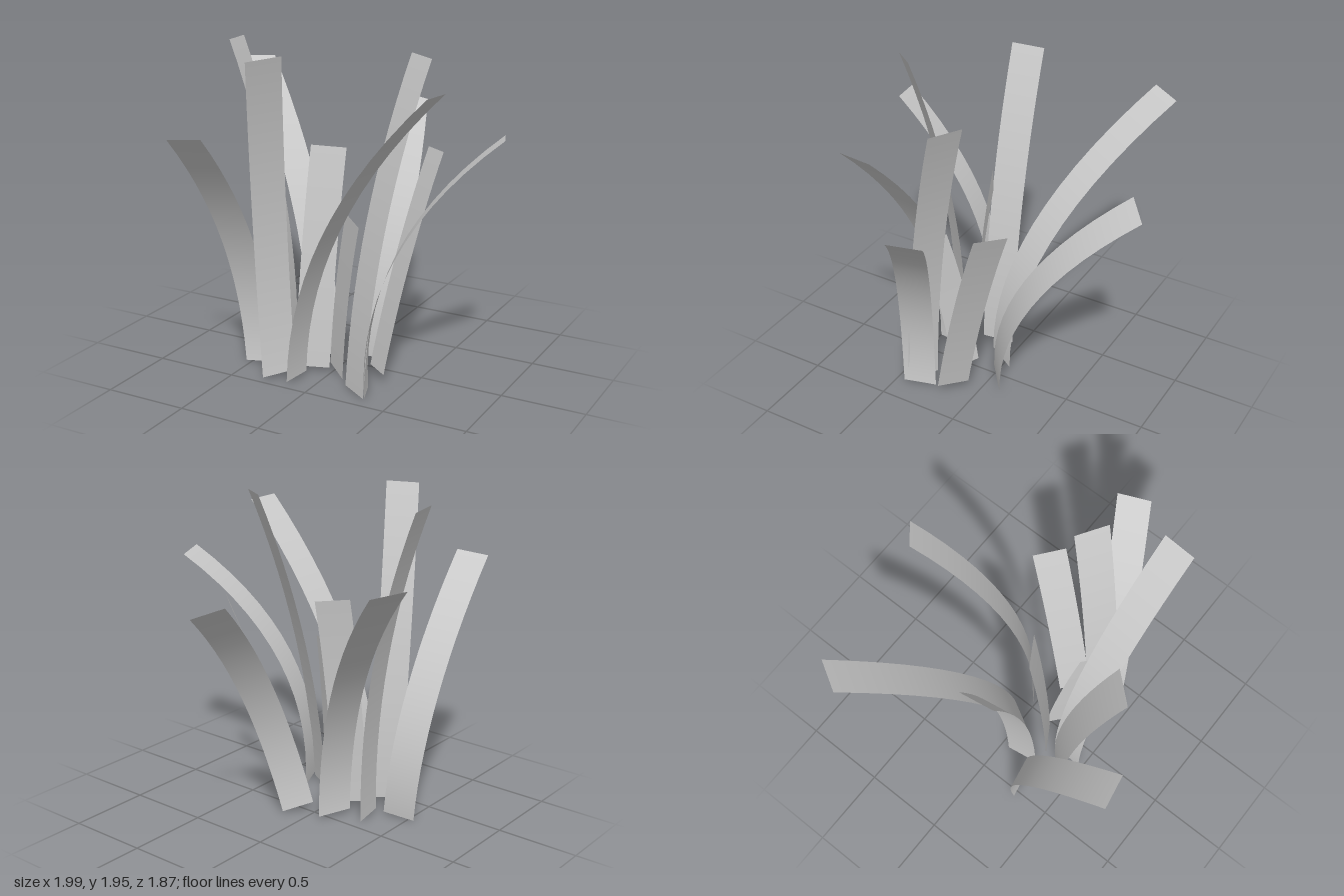
import * as THREE from 'three';
import { ParametricGeometry } from 'three/addons/geometries/ParametricGeometry.js';

// Each blade: centre of its root, middle and tip, then the vector across its width
const BLADES = [
  { name: 'backLeaningBladeRight', root: [-0.13, 0.03, 0.03], mid: [-0.335, 0.89, -0.125], tip: [-0.95, 1.69, -0.605], across: [-0.10, 0.02, 0.175] },
  { name: 'tallBladeRight', root: [-0.295, 0.02, 0.15], mid: [-0.375, 1.0, 0.137], tip: [-0.635, 1.943, 0.147], across: [0.03, 0.005, 0.195] },
  { name: 'tallBladeFront', root: [-0.235, 0.03, 0.395], mid: [-0.237, 1.0, 0.465], tip: [-0.125, 1.945, 0.677], across: [0.13, 0.02, -0.15] },
  { name: 'tallBladeLeft', root: [0.25, 0.01, 0.37], mid: [0.322, 0.98, 0.258], tip: [0.475, 1.912, 0.02], across: [0.17, -0.005, 0.105] },
  { name: 'frontBlade', root: [-0.44, 0.014, 0.26], mid: [-0.5, 0.79, 0.39], tip: [-0.478, 1.525, 0.917], across: [0.195, 0.015, -0.035] },
  { name: 'droopingBladeLeft', root: [0.317, 0.012, 0.35], mid: [0.455, 0.83, 0.275], tip: [0.957, 1.5, -0.025], across: [0.07, 0.015, 0.185] },
  { name: 'archingBladeFront', root: [-0.125, 0.03, 0.38], mid: [0.10, 0.93, 0.376], tip: [0.742, 1.785, 0.41], across: [-0.015, 0.005, 0.2] },
  { name: 'archingBladeBack', root: [0.08, 0.04, -0.06], mid: [0.165, 0.82, -0.31], tip: [0.003, 1.477, -0.88], across: [0.14, -0.06, -0.12] },
  { name: 'middleBlade', root: [-0.113, 0.03, 0.218], mid: [-0.097, 0.7, 0.16], tip: [-0.083, 1.347, 0.06], across: [0.175, -0.02, -0.105] },
  { name: 'shortBlade', root: [0.035, 0.025, 0.19], mid: [0.098, 0.53, 0.237], tip: [0.198, 1.01, 0.30], across: [0.135, -0.038, 0.1] },
  { name: 'shortBladeBack', root: [0.275, 0.062, 0.135], mid: [0.353, 0.71, -0.03], tip: [0.455, 1.328, -0.238], across: [0.15, 0.012, 0.125] },
];

// A constant-width strip swept along a curve through root, middle and tip
function bladeGeometry({ root, mid, tip, across }) {
  const [a, m, b, w] = [root, mid, tip, across].map(p => new THREE.Vector3(...p));
  const control = m.multiplyScalar(2).addScaledVector(a, -0.5).addScaledVector(b, -0.5);
  const curve = new THREE.QuadraticBezierCurve3(a, control, b);
  return new ParametricGeometry((u, v, target) => {
    curve.getPoint(v, target);
    target.addScaledVector(w, u - 0.5);
  }, 1, 14);
}

export function createModel() {
  const group = new THREE.Group();
  group.name = 'grassTuft';
  const material = new THREE.MeshStandardMaterial({ color: 0xcccccc, side: THREE.DoubleSide });
  for (const blade of BLADES) {
    const mesh = new THREE.Mesh(bladeGeometry(blade), material);
    mesh.name = blade.name;
    group.add(mesh);
  }
  return group;
}
